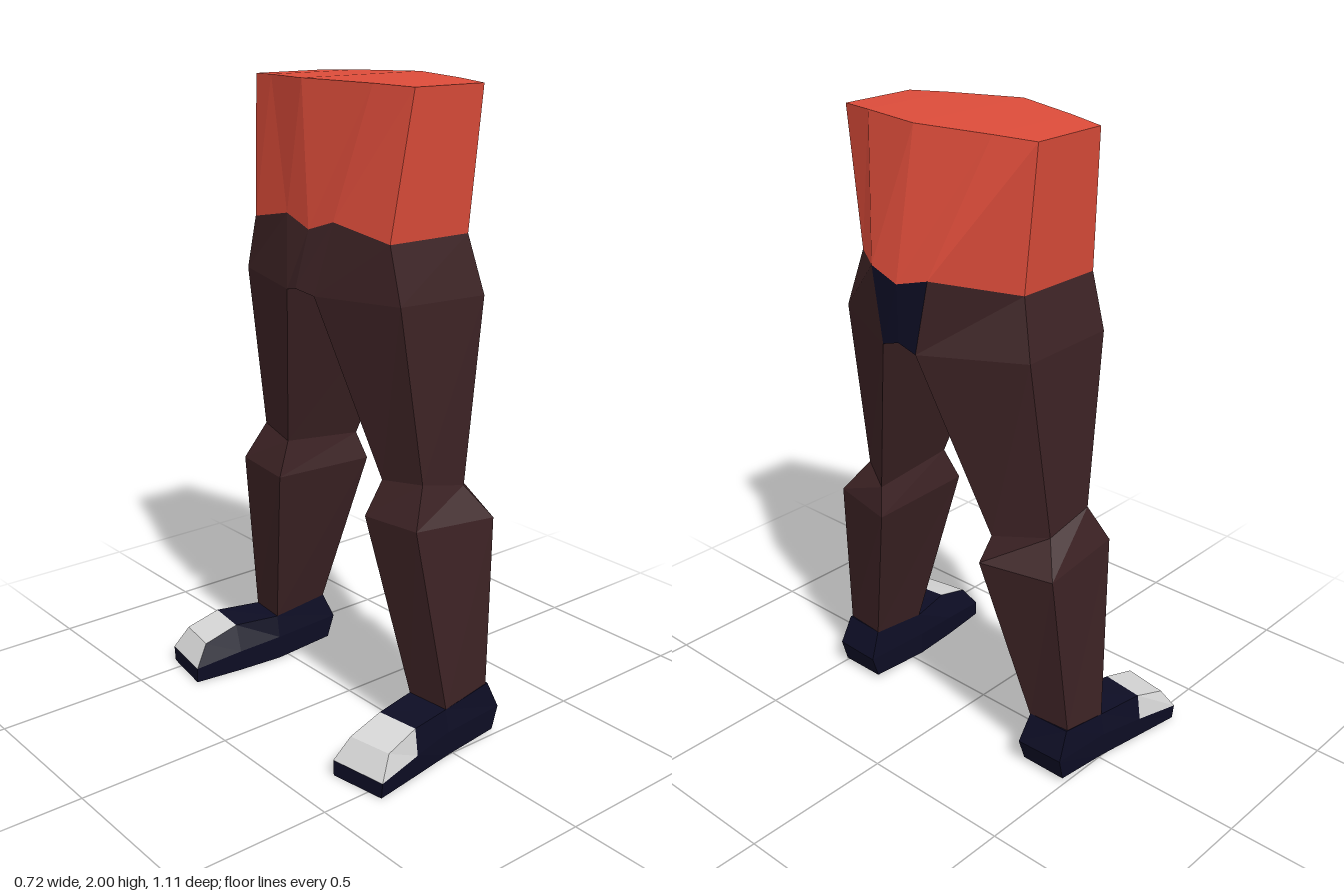
import * as THREE from 'three';

const flat = (name, color) => {
  const m = new THREE.MeshStandardMaterial({ color, flatShading: true });
  m.name = name;
  return m;
};

// Faceted mesh from four-cornered faces; side = -1 mirrors it across z
function facets(name, material, quads, side = 1) {
  const pos = [];
  for (const q of quads) {
    const c = q.map(([x, y, z]) => [x, y, z * side]);
    if (side < 0) c.reverse();
    for (const i of [0, 1, 2, 0, 2, 3]) pos.push(...c[i]);
  }
  const g = new THREE.BufferGeometry();
  g.setAttribute('position', new THREE.Float32BufferAttribute(pos, 3));
  g.computeVertexNormals();
  const mesh = new THREE.Mesh(g, material);
  mesh.name = name;
  return mesh;
}

// Wall face i between two closed rings
const wall = (a, b, i) => {
  const j = (i + 1) % a.length;
  return [a[i], a[j], b[j], b[i]];
};

export function createModel() {
  const red = flat('red shirt', 0xdc4c3a);
  const brown = flat('dark brown trousers', 0x3c2224);
  const navy = flat('dark navy', 0x0d0d24);
  const grey = flat('light grey toe', 0xd6d6d6);
  const model = new THREE.Group();
  model.name = 'lowerBody';

  // Leg rings from hip to ankle: outer front, outer back, inner back, inner front
  const leg = [
    [[-0.115, 1.56, 0.32], [0.185, 1.56, 0.32], [0.348, 1.595, 0.11], [-0.15, 1.6, 0.11]],
    [[-0.115, 1.39, 0.367], [0.212, 1.38, 0.367], [0.355, 1.37, 0.065], [-0.187, 1.38, 0.065]],
    [[-0.04, 0.85, 0.388], [0.13, 0.81, 0.385], [0.222, 0.8, 0.235], [-0.065, 0.83, 0.235]],
    [[-0.1, 0.73, 0.43], [0.195, 0.71, 0.45], [0.25, 0.71, 0.21], [-0.115, 0.72, 0.215]],
    [[-0.02, 0.15, 0.487], [0.148, 0.175, 0.485], [0.16, 0.175, 0.345], [-0.04, 0.155, 0.345]],
  ];
  const hip = leg[0], thigh = leg[1];
  const backTop = [0.36, 1.565, 0], backLow = [0.357, 1.39, 0];
  const frontTop = [-0.155, 1.565, 0], frontLow = [-0.205, 1.395, 0];

  // Waist outline and the shirt hem below it, front centre round to back centre
  const waist = [[-0.175, 2, 0], [-0.109, 1.995, 0.235], [-0.07, 1.99, 0.365],
    [0.19, 1.99, 0.365], [0.224, 1.995, 0.235], [0.28, 2, 0]];
  const hem = [frontTop, hip[3], hip[0], hip[1], hip[2], backTop];

  // Foot rings from toe to heel: inner bottom, middle, top, outer top, middle, bottom
  const foot = [
    [[-0.36, 0, 0.367], [-0.36, 0.05, 0.365], [-0.31, 0.12, 0.385],
      [-0.285, 0.12, 0.53], [-0.33, 0.05, 0.555], [-0.33, 0, 0.55]],
    [[-0.195, 0, 0.347], [-0.195, 0.07, 0.345], [-0.19, 0.155, 0.378],
      [-0.172, 0.155, 0.518], [-0.172, 0.07, 0.53], [-0.172, 0, 0.525]],
    [[-0.04, 0, 0.335], [-0.04, 0.08, 0.333], [-0.04, 0.155, 0.345],
      [-0.02, 0.15, 0.487], [-0.02, 0.08, 0.502], [-0.02, 0, 0.5]],
    [[0.175, 0.015, 0.335], [0.2, 0.09, 0.333], [0.16, 0.18, 0.345],
      [0.155, 0.18, 0.487], [0.195, 0.09, 0.495], [0.175, 0.015, 0.492]],
  ];

  for (const side of [1, -1]) {
    const half = side > 0 ? 'Left' : 'Right';
    const add = (name, mat, quads) => model.add(facets(name + half, mat, quads, side));

    // Shirt half: sides and flat top
    const shirt = [];
    for (let i = 0; i < 5; i++) shirt.push([hem[i], hem[i + 1], waist[i + 1], waist[i]]);
    shirt.push([waist[0], waist[1], waist[4], waist[5]], [waist[1], waist[2], waist[3], waist[4]]);
    add('shirt', red, shirt);

    // Trouser leg, open where the two halves join at the hip
    const cloth = [];
    for (let r = 0; r < leg.length - 1; r++)
      for (let i = 0; i < 4; i++)
        if (r > 0 || i !== 2) cloth.push(wall(leg[r + 1], leg[r], i));
    add('trouserLeg', brown, cloth);

    // Crotch: front and underside brown, seat dark navy
    add('crotch', brown, [
      [frontLow, thigh[3], hip[3], frontTop],
      [thigh[2], thigh[3], frontLow, backLow],
    ]);
    add('seat', navy, [[thigh[2], backLow, backTop, hip[2]]]);

    // Shoe with a light top and outer side on the toe
    const t = foot[0], h = foot[3];
    const shoe = [[t[0], t[5], t[4], t[1]], [h[5], h[0], h[1], h[4]], [h[4], h[1], h[2], h[3]]];
    const toe = [[t[1], t[4], t[3], t[2]]];
    for (let r = 0; r < 3; r++)
      for (let i = 0; i < 6; i++)
        (r === 0 && (i === 2 || i === 3) ? toe : shoe).push(wall(foot[r], foot[r + 1], i));
    add('shoe', navy, shoe);
    add('toeCap', grey, toe);
  }
  return model;
}
